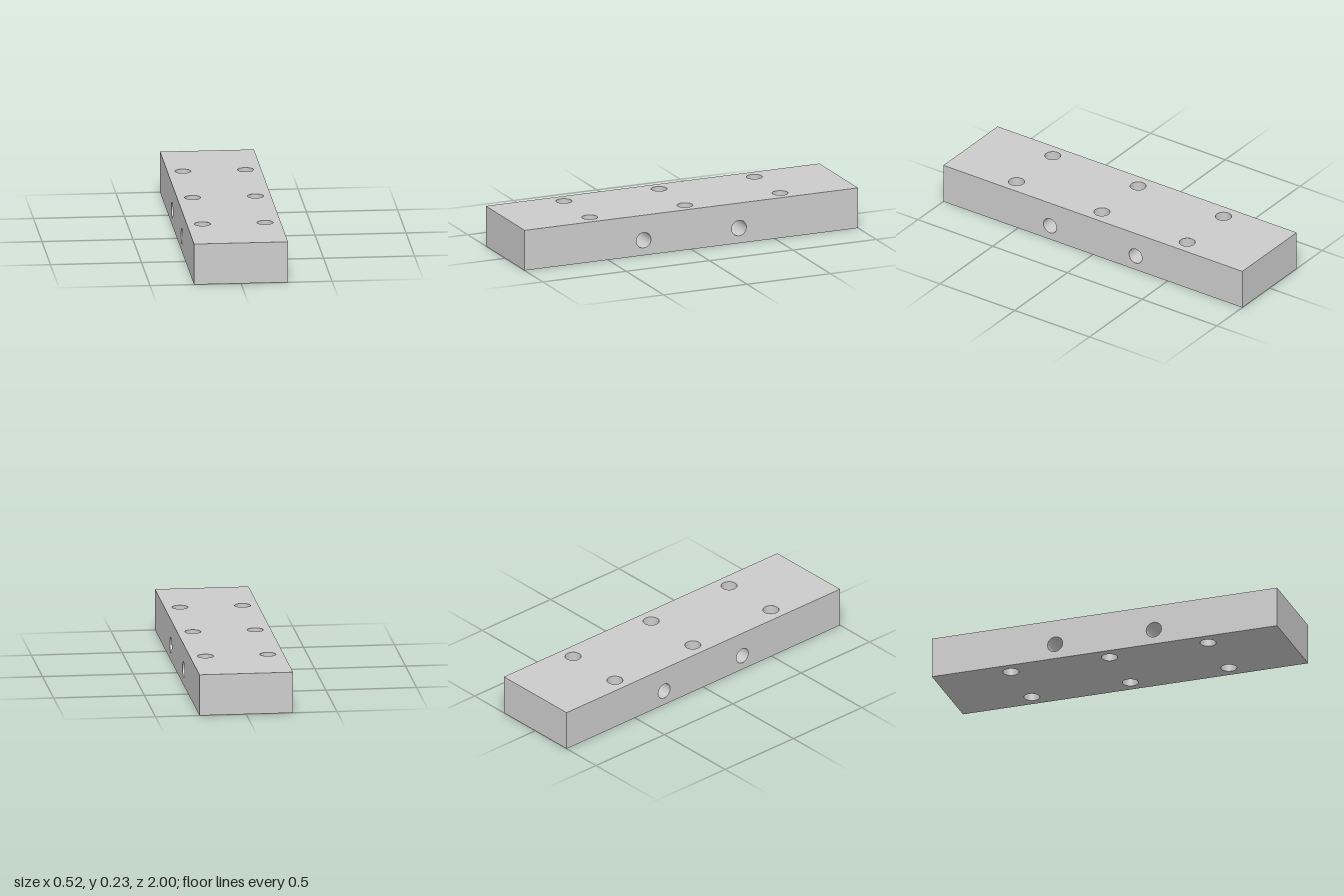
import * as THREE from 'three';

const W = 0.516, H = 0.229, L = 2;      // block width (x), height (y), length (z)
const R = 0.044, SIDES = 32;            // bore radius and smoothness
const BORE_X = 0.172, BORE_Z = 0.571;   // vertical bore grid
const CROSS_Y = 0.086, CROSS_Z = 0.286; // cross bore positions

const verticalBores = [-BORE_Z, 0, BORE_Z].flatMap(z => [[-BORE_X, z], [BORE_X, z]]);
const crossBores = [-CROSS_Z, CROSS_Z];

// Flat rectangle centred on the origin, facing +z, pierced by round holes
function panel(w, h, holes = []) {
  const shape = new THREE.Shape();
  shape.moveTo(-w / 2, -h / 2);
  shape.lineTo(w / 2, -h / 2);
  shape.lineTo(w / 2, h / 2);
  shape.lineTo(-w / 2, h / 2);
  shape.closePath();
  for (const [x, y] of holes) {
    shape.holes.push(new THREE.Path().absarc(x, y, R, 0, Math.PI * 2, true));
  }
  return new THREE.ShapeGeometry(shape, SIDES);
}

export function createModel() {
  const model = new THREE.Group();
  model.name = 'drilledBlock';
  const material = new THREE.MeshStandardMaterial({ color: 0xcccccc });
  const boreMaterial = new THREE.MeshStandardMaterial({ color: 0xcccccc, side: THREE.DoubleSide });

  const add = (name, geometry, x, y, z, mat = material) => {
    const mesh = new THREE.Mesh(geometry, mat);
    mesh.name = name;
    mesh.position.set(x, y, z);
    model.add(mesh);
  };

  // Top and bottom faces with six holes
  add('topFace', panel(W, L, verticalBores).rotateX(-Math.PI / 2), 0, H, 0);
  add('bottomFace', panel(W, L, verticalBores).rotateX(Math.PI / 2), 0, 0, 0);

  // Long side faces with two holes each
  const sideHoles = crossBores.map(z => [z, CROSS_Y - H / 2]);
  add('leftFace', panel(L, H, sideHoles).rotateY(Math.PI / 2), W / 2, H / 2, 0);
  add('rightFace', panel(L, H, sideHoles).rotateY(-Math.PI / 2), -W / 2, H / 2, 0);

  // Plain end faces
  add('frontFace', panel(W, H), 0, H / 2, L / 2);
  add('backFace', panel(W, H).rotateY(Math.PI), 0, H / 2, -L / 2);

  // Walls of the bores, running right through the block
  const bore = length => new THREE.CylinderGeometry(R, R, length, SIDES, 1, true);
  for (const [x, z] of verticalBores) add('verticalBore', bore(H), x, H / 2, z, boreMaterial);
  for (const z of crossBores) add('crossBore', bore(W).rotateZ(Math.PI / 2), 0, CROSS_Y, z, boreMaterial);

  return model;
}
